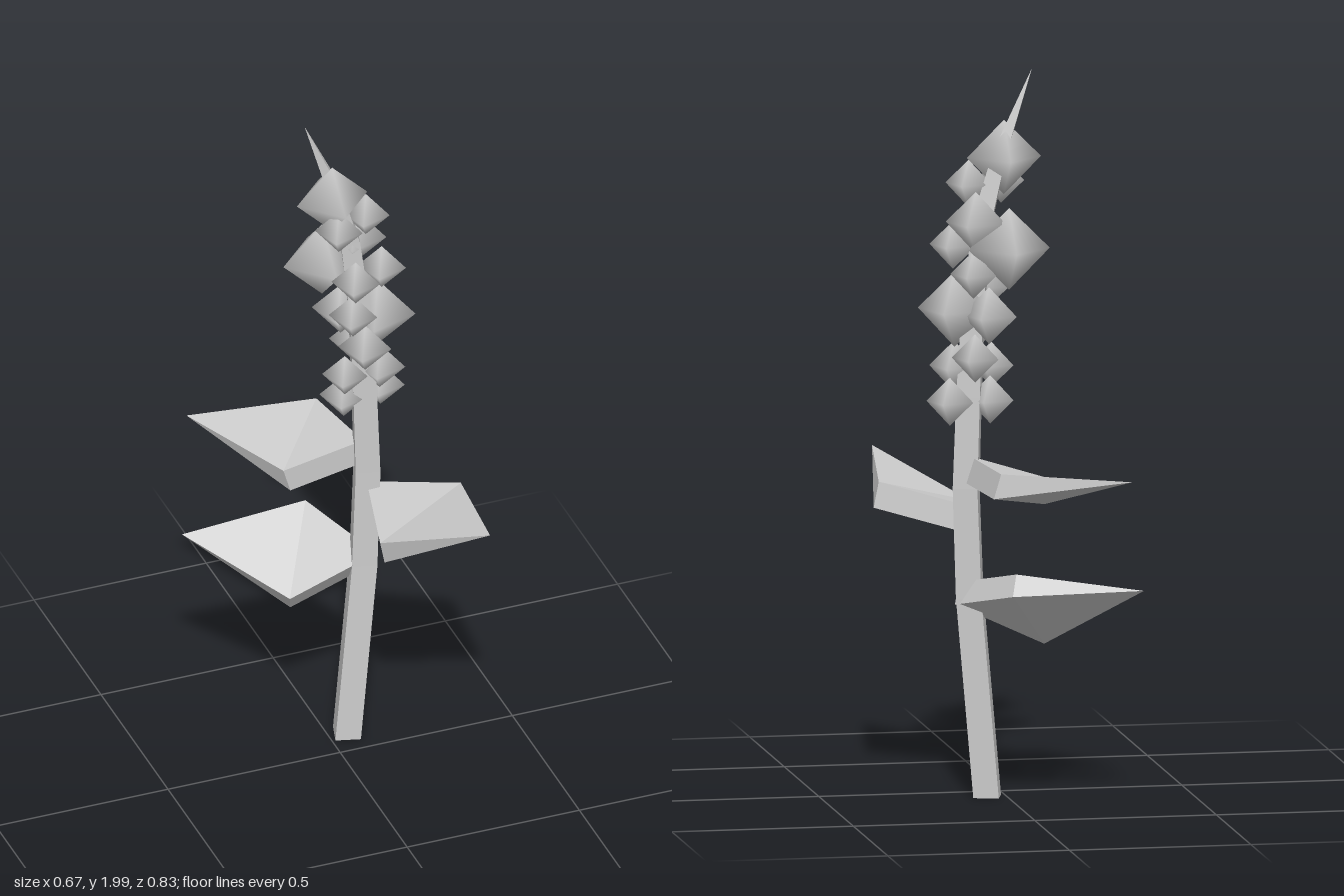
import * as THREE from 'three';

const flat = () => new THREE.MeshStandardMaterial({ color: 0xcccccc, flatShading: true });
const smooth = () => new THREE.MeshStandardMaterial({ color: 0xcccccc });

// Square stem bent along rows of [x, y, scale], ending in a fine spike
function makeStem() {
  const rows = [
    [0.052, 0, 1], [0.1, 0.55, 1], [0.11, 0.85, 0.97], [0.102, 1.1, 0.93], [0.09, 1.35, 0.85],
    [0.06, 1.6, 0.75], [0.015, 1.77, 0.55], [-0.07, 1.99, 0.01],
  ];
  const n = rows.length - 1;
  const geo = new THREE.CylinderGeometry(0.049, 0.049, 1, 4, n, false, 0.51);
  const p = geo.attributes.position;
  for (let i = 0; i < p.count; i++) {
    const [x, y, s] = rows[Math.round((p.getY(i) + 0.5) * n)];
    p.setXYZ(i, x + p.getX(i) * s, y, -0.083 + p.getZ(i) * s);
  }
  geo.computeVertexNormals();
  const mesh = new THREE.Mesh(geo, flat());
  mesh.name = 'stem';
  return mesh;
}

// Kite-shaped leaf: root, two side corners and a pointed tip, thickened by the vector t
function makeLeaf({ root, a, b, tip, t }) {
  const down = (p) => p.map((v, i) => v + t[i]);
  const [r2, a2, b2] = [root, a, b].map(down);
  const faces = [
    root, a, b, a, tip, b, // top, folded across the middle
    r2, b2, a2, a2, b2, tip, // underside
    root, r2, a2, root, a2, a, a, a2, tip, // edge on one side
    root, b, b2, root, b2, r2, b, tip, b2, // edge on the other side
  ];
  const geo = new THREE.BufferGeometry();
  geo.setAttribute('position', new THREE.Float32BufferAttribute(faces.flat(), 3));
  geo.computeVertexNormals();
  return new THREE.Mesh(geo, flat());
}

const leaves = [
  { root: [0.11, 0.8, -0.085], a: [0.05, 0.77, 0.17], b: [0.32, 0.845, 0.078], tip: [0.275, 0.89, 0.412], t: [0.015, -0.07, -0.006] },
  { root: [0.1, 0.935, -0.085], a: [0.062, 0.925, -0.338], b: [-0.12, 0.87, -0.115], tip: [-0.285, 0.905, -0.415], t: [0.02, -0.068, 0] },
  { root: [0.125, 0.585, -0.05], a: [0.01, 0.64, -0.285], b: [-0.115, 0.475, -0.08], tip: [-0.335, 0.59, -0.32], t: [0.017, -0.055, -0.04] },
];

// Buds as [x, y, z, radius, aligned to the axes]
const buds = [
  [0.003, 1.75, -0.068, 0.102, true], [0, 1.68, -0.01, 0.065], [0.1, 1.68, -0.066, 0.065],
  [0.09, 1.58, -0.12, 0.085], [0.003, 1.51, -0.143, 0.112, true], [0.045, 1.51, 0, 0.066],
  [0.14, 1.51, -0.05, 0.066], [0.1, 1.44, -0.135, 0.065], [0.045, 1.39, -0.02, 0.066],
  [0.143, 1.34, -0.088, 0.103], [0.06, 1.33, -0.152, 0.078], [0.08, 1.28, -0.02, 0.072],
  [0.1, 1.215, -0.16, 0.066], [0.035, 1.18, -0.055, 0.062], [0.14, 1.18, -0.066, 0.07],
  [0.045, 1.09, -0.09, 0.066], [0.16, 1.09, -0.11, 0.066],
];

export function createModel() {
  const model = new THREE.Group();
  model.name = 'flowerSpike';
  model.add(makeStem());

  const foliage = new THREE.Group();
  foliage.name = 'leaves';
  leaves.forEach((spec, i) => {
    const leaf = makeLeaf(spec);
    leaf.name = `leaf${i + 1}`;
    foliage.add(leaf);
  });
  model.add(foliage);

  // Softly shaded octahedral buds around the upper stem
  const blossom = new THREE.Group();
  blossom.name = 'buds';
  buds.forEach(([x, y, z, r, aligned], i) => {
    const bud = new THREE.Mesh(new THREE.SphereGeometry(r, 4, 2), smooth());
    bud.position.set(x, y, z);
    bud.rotation.y = aligned ? 0 : -0.47;
    bud.name = `bud${i + 1}`;
    blossom.add(bud);
  });
  model.add(blossom);
  return model;
}
